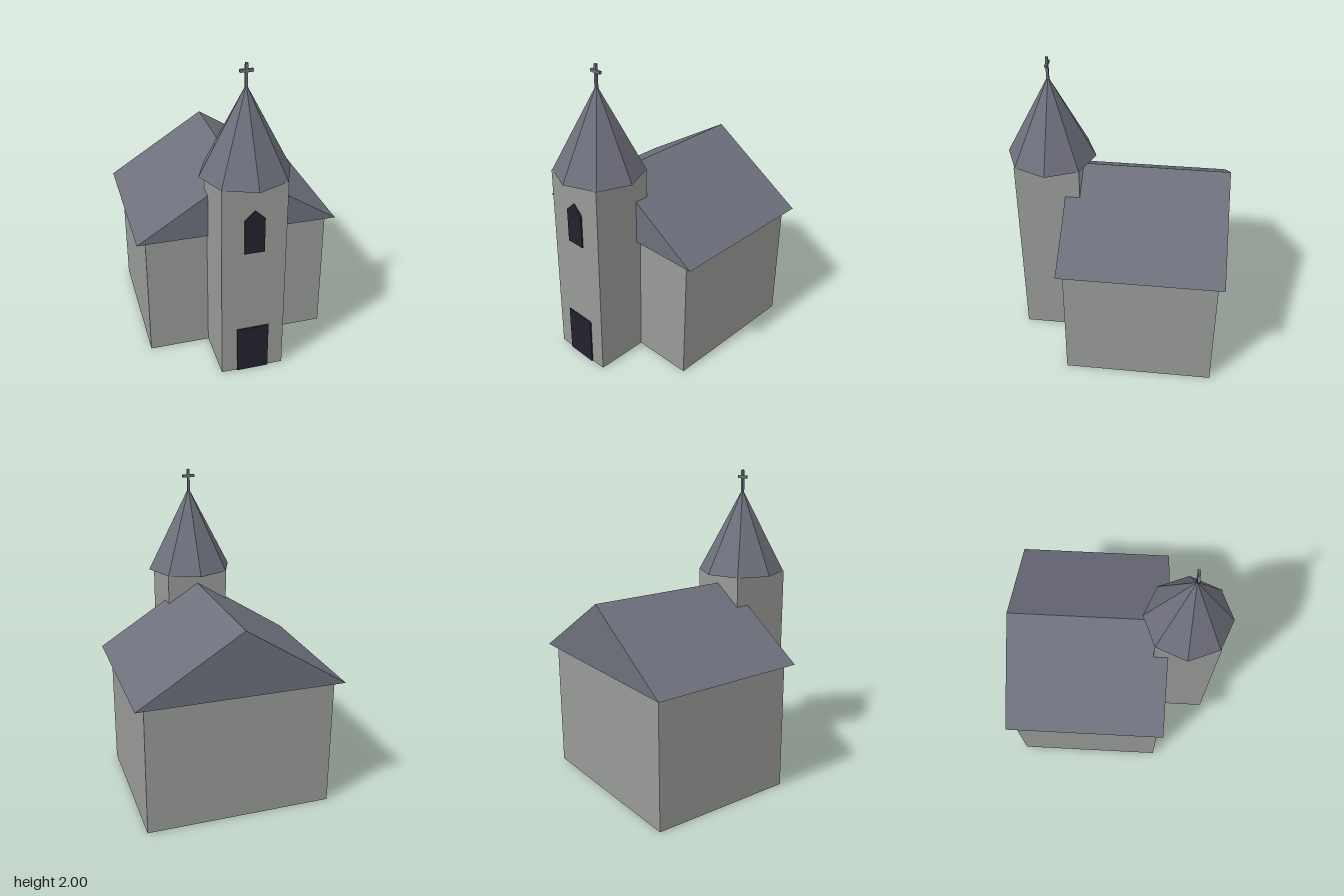
import * as THREE from 'three';

const material = (name, color) => {
  const m = new THREE.MeshStandardMaterial({ color });
  m.name = name;
  return m;
};

export function createModel() {
  const church = new THREE.Group();
  church.name = 'church';

  const stone = material('grey stone', 0x989a97);
  const slate = material('blue grey slate', 0x6d6f7b);
  const dark = material('dark opening', 0x22222d);

  const add = (name, geometry, mat, x = 0, y = 0, z = 0) => {
    const mesh = new THREE.Mesh(geometry, mat);
    mesh.name = name;
    mesh.position.set(x, y, z);
    church.add(mesh);
    return mesh;
  };
  // Box given by its width and its y and z ranges, centred on x = 0
  const box = (name, mat, w, y0, y1, z0, z1) =>
    add(name, new THREE.BoxGeometry(w, y1 - y0, z1 - z0), mat, 0, (y0 + y1) / 2, (z0 + z1) / 2);
  // Outline in x and y, extruded from z0 to z1
  const prism = (name, mat, points, z0, z1) => {
    const shape = new THREE.Shape(points.map(([x, y]) => new THREE.Vector2(x, y)));
    return add(name, new THREE.ExtrudeGeometry(shape, { depth: z1 - z0, bevelEnabled: false }), mat, 0, 0, z0);
  };

  // Nave and its solid gable roof with overhang
  box('naveWalls', stone, 1.2, 0, 0.847, -0.68, 0.285);
  prism('naveRoof', slate, [[-0.658, 0.847], [0.658, 0.847], [0, 1.265]], -0.717, 0.319);

  // Bell tower with eight-sided spire
  const towerZ = 0.429, spireR = 0.286;
  box('tower', stone, 0.406, 0, 1.33, 0.226, 0.637);
  const spireGeometry = new THREE.ConeGeometry(spireR, 0.545, 8).toNonIndexed();
  spireGeometry.computeVertexNormals();
  add('spire', spireGeometry, slate, 0, 1.33 + 0.545 / 2, towerZ);

  // Cross on the spire
  box('crossUpright', slate, 0.016, 1.85, 2, towerZ - 0.008, towerZ + 0.008);
  box('crossArm', slate, 0.08, 1.946, 1.964, towerZ - 0.008, towerZ + 0.008);

  // Door and pointed window standing just proud of the tower front
  box('door', dark, 0.206, 0, 0.327, 0.637, 0.6465);
  prism('towerWindow', dark,
    [[-0.063, 0.888], [0.063, 0.888], [0.063, 1.115], [0, 1.175], [-0.063, 1.115]], 0.637, 0.6465);

  return church;
}
